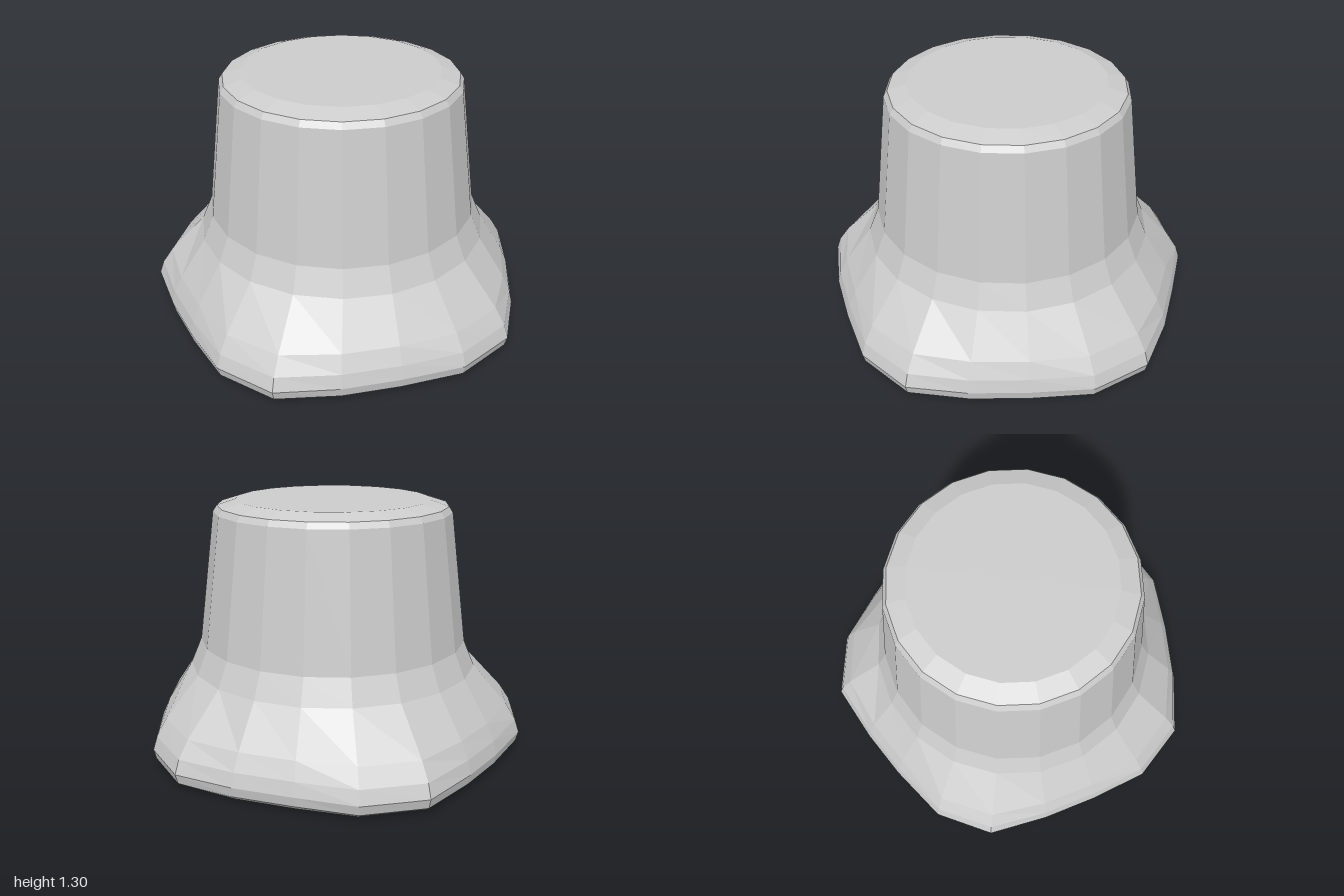
import * as THREE from 'three';

// Flared foot outline as [x, z], starting at the back and turning towards +x
const OUTLINE = [
  [-0.02, -1.0], [0.29, -0.93], [0.54, -0.73], [0.76, -0.53], [0.96, -0.29],
  [0.99, 0.03], [0.88, 0.33], [0.76, 0.6], [0.59, 0.87], [0.29, 0.99],
  [-0.02, 0.97], [-0.31, 0.93], [-0.62, 0.855], [-0.83, 0.62], [-0.92, 0.3],
  [-0.97, 0.03], [-1.0, -0.29], [-0.83, -0.57], [-0.57, -0.73], [-0.31, -0.88],
];
const N = OUTLINE.length;
const CX = -0.015, CZ = 0.025;

// Cross-sections: height, round radius, blend towards the outline
const SECTIONS = [
  [0, 0.755, 0.7],
  [0.01, 0.755, 0.85],
  [0.03, 0.755, 0.95],
  [0.08, 0.755, 1],
  [0.15, 0.755, 0.91],
  [0.235, 0.755, 0.7],
  [0.44, 0.755, 0],
  [0.57, 0.7, 0],
  [1.24, 0.615, 0],
  [1.27, 0.595, 0],
  [1.3, 0.5, 0],
];

function sectionPoint([y, r, blend], i) {
  const a = (i / N) * Math.PI * 2;
  const x = CX + r * Math.sin(a), z = CZ - r * Math.cos(a);
  const [ox, oz] = OUTLINE[i];
  return [x + (ox - x) * blend, y, z + (oz - z) * blend];
}

function buildBody() {
  const positions = [], index = [];
  for (const s of SECTIONS) {
    for (let i = 0; i < N; i++) positions.push(...sectionPoint(s, i));
  }
  // Walls between neighbouring sections
  for (let k = 0; k < SECTIONS.length - 1; k++) {
    for (let i = 0; i < N; i++) {
      const j = (i + 1) % N;
      const a = k * N + i, b = k * N + j;
      index.push(a, a + N, b + N, a, b + N, b);
    }
  }
  // Flat underside and flat top
  const bottom = SECTIONS.length * N, top = bottom + 1;
  positions.push(CX, 0, CZ, CX, 1.3, CZ);
  const last = (SECTIONS.length - 1) * N;
  for (let i = 0; i < N; i++) {
    const j = (i + 1) % N;
    index.push(bottom, i, j, top, last + j, last + i);
  }
  const g = new THREE.BufferGeometry();
  g.setAttribute('position', new THREE.Float32BufferAttribute(positions, 3));
  g.setIndex(index);
  const flat = g.toNonIndexed();
  flat.computeVertexNormals();
  return flat;
}

export function createModel() {
  const group = new THREE.Group();
  group.name = 'flaredPlug';
  const grey = new THREE.MeshStandardMaterial({ color: 0xcccccc, flatShading: true });
  grey.name = 'light grey';
  const body = new THREE.Mesh(buildBody(), grey);
  body.name = 'flaredBody';
  group.add(body);
  return group;
}
